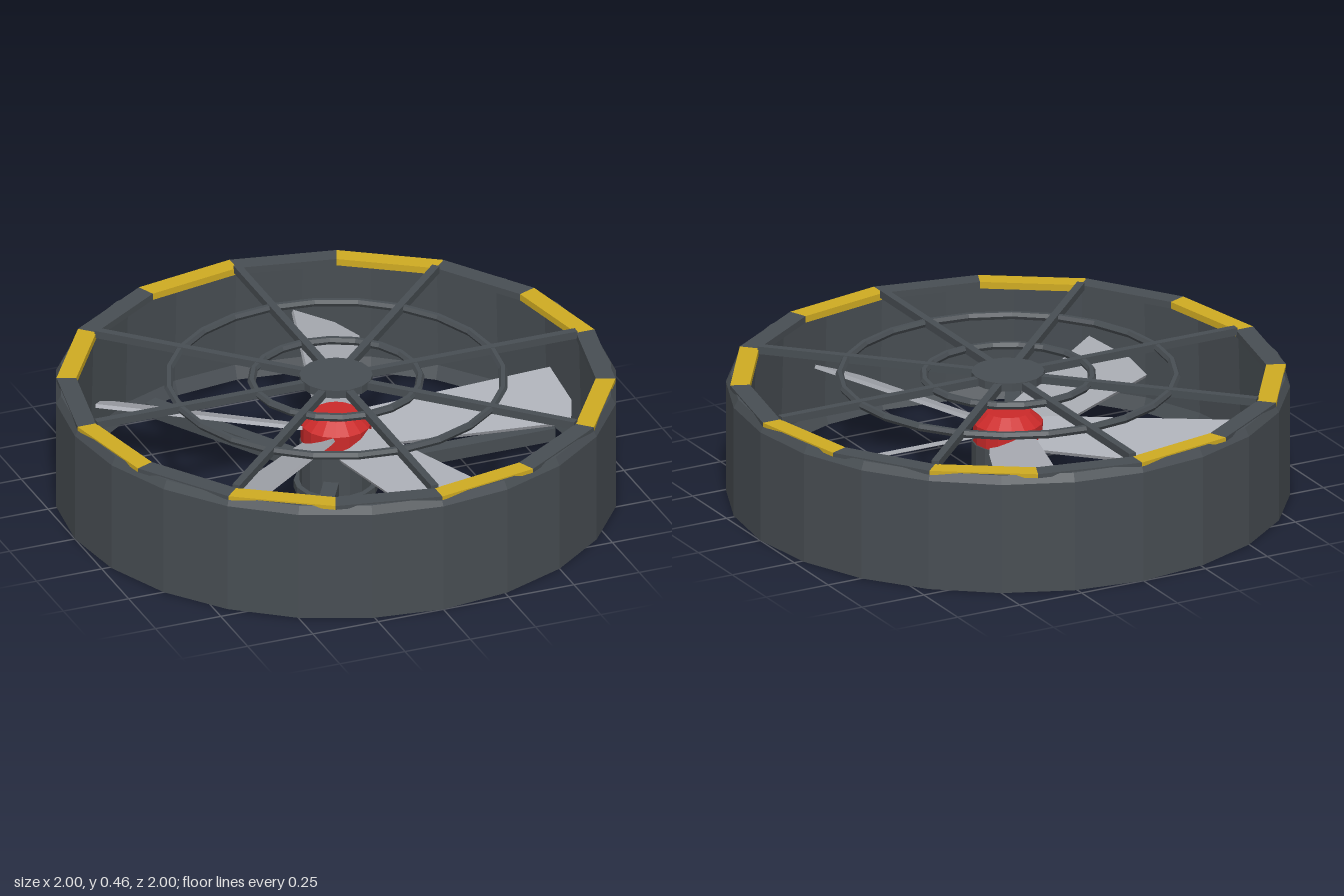
import * as THREE from 'three';

const mat = (name, color) => {
  const m = new THREE.MeshStandardMaterial({ color });
  m.name = name;
  return m;
};

// Faceted normals without shared vertices
const facet = (g) => {
  const f = g.index ? g.toNonIndexed() : g;
  f.computeVertexNormals();
  return f;
};

const lathe = (pts, sides, start = 0, length = Math.PI * 2) =>
  facet(new THREE.LatheGeometry(pts.map(([r, y]) => new THREE.Vector2(r, y)), sides, start, length));

export function createModel() {
  const model = new THREE.Group();
  const dark = mat('darkGrey', 0x484e53);
  const yellow = mat('yellow', 0xcfab22);
  const red = mat('red', 0xcc2a2a);
  const grey = mat('bladeGrey', 0xa9acb3);

  const add = (name, geometry, material, parent = model) => {
    const mesh = new THREE.Mesh(geometry, material);
    mesh.name = name;
    parent.add(mesh);
    return mesh;
  };

  // Duct wall, chamfered at the outer top and inner bottom
  add('ductWall', lathe([[0.92, 0], [1, 0], [1, 0.41], [0.983, 0.44], [0.93, 0.44], [0.94, 0.05], [0.92, 0]], 24), dark);

  // Rim lip in alternating yellow and dark sections
  const lip = [[0.92, 0.42], [0.96, 0.42], [0.99, 0.43], [0.99, 0.445], [0.92, 0.445], [0.92, 0.42]];
  const step = Math.PI / 8;
  for (let i = 0; i < 16; i++) {
    add('rimSection', lathe(lip, 1, i * step, step), i % 2 ? dark : yellow);
  }

  // Guard: crossing bars, two rings and a centre cap
  for (let i = 0; i < 4; i++) {
    const bar = add('guardBar', new THREE.BoxGeometry(1.84, 0.028, 0.028), dark);
    bar.position.y = 0.443;
    bar.rotation.y = i * Math.PI / 4;
  }
  for (const [radius, sides] of [[0.3, 20], [0.597, 24]]) {
    const ring = add('guardRing', facet(new THREE.TorusGeometry(radius, 0.015, 6, sides)), dark);
    ring.rotation.x = Math.PI / 2;
    ring.position.y = 0.442;
  }
  const cap = add('guardCap', facet(new THREE.CylinderGeometry(0.13, 0.13, 0.03, 16)), dark);
  cap.position.y = 0.445;

  // Motor mount with base plate and three struts
  add('motorMount', lathe([[0, 0.01], [0.15, 0.01], [0.15, 0.04], [0.13, 0.04], [0.13, 0.2], [0, 0.2]], 16), dark);
  for (let i = 0; i < 3; i++) {
    const arm = new THREE.Group();
    arm.name = 'strut';
    arm.rotation.y = i * Math.PI * 2 / 3;
    add('strutBar', new THREE.BoxGeometry(0.75, 0.05, 0.055), dark, arm).position.set(0.455, 0.07, 0);
    model.add(arm);
  }

  // Rotor: red hub and five pitched blades
  const rotor = new THREE.Group();
  rotor.name = 'rotor';
  model.add(rotor);
  add('rotorHub', lathe([[0, 0.2], [0.125, 0.2], [0.125, 0.27], [0.08, 0.31], [0, 0.31]], 16), red, rotor);

  // Blade outline in (x, -z), widening towards a clipped tip
  const outline = [[0.08, -0.085], [0.14, -0.1], [0.84, -0.158], [0.877, -0.065], [0.855, 0.098], [0.14, 0.072], [0.08, 0.06]];
  const shape = new THREE.Shape(outline.map(([x, y]) => new THREE.Vector2(x, y)));
  const bladeGeo = new THREE.ExtrudeGeometry(shape, { depth: 0.014, bevelEnabled: false });
  bladeGeo.translate(0, 0, -0.007);
  bladeGeo.rotateX(-Math.PI / 2 + 0.42);
  for (let i = 0; i < 5; i++) {
    const blade = add('blade', bladeGeo, grey, rotor);
    blade.position.y = 0.235;
    blade.rotation.y = i * Math.PI * 2 / 5;
  }

  return model;
}
